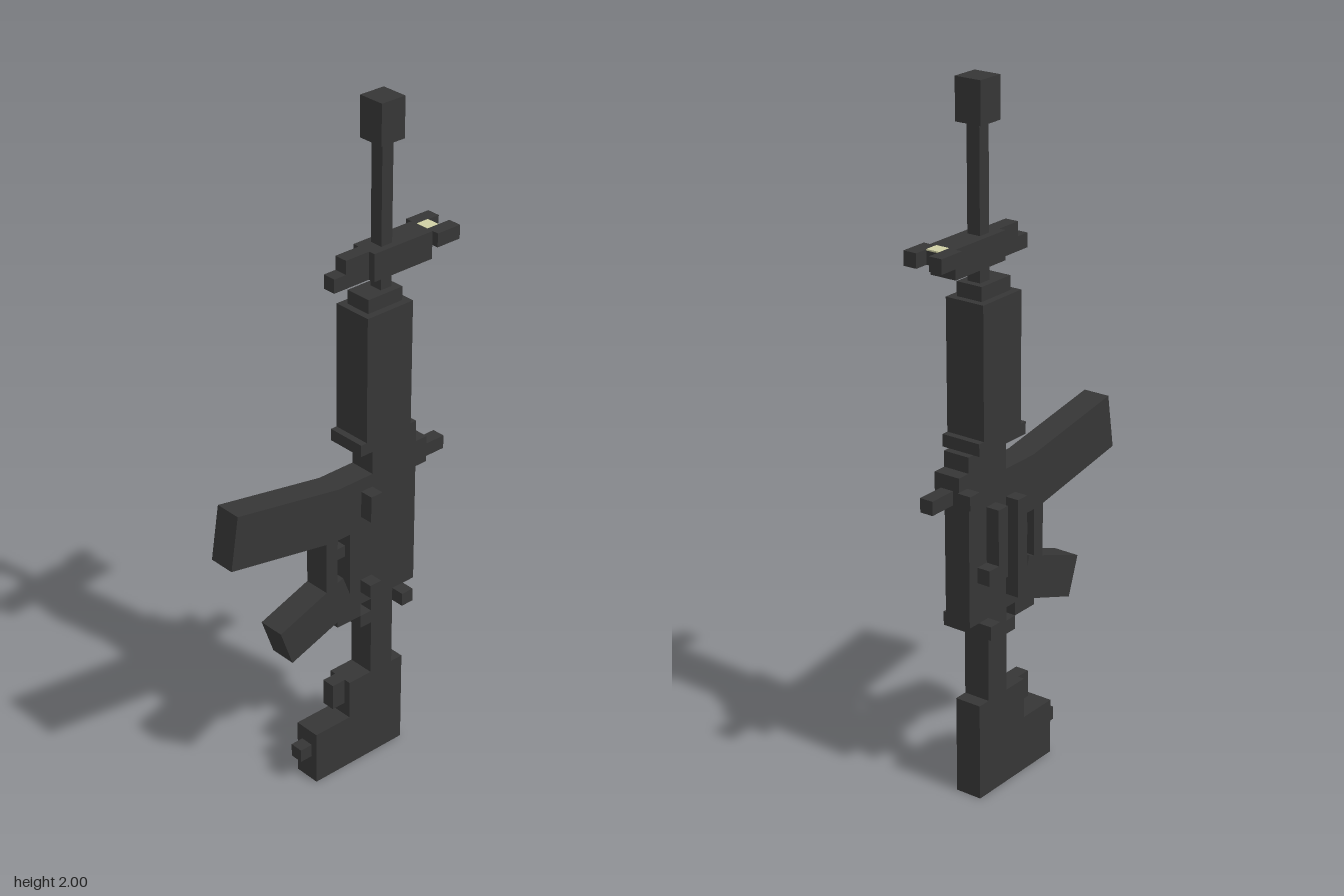
import * as THREE from 'three';

export function createModel() {
  const model = new THREE.Group();
  const gunmetal = new THREE.MeshStandardMaterial({ color: 0x363636 });
  gunmetal.name = 'gunmetal';
  const paleYellow = new THREE.MeshStandardMaterial({ color: 0xcfcfa4 });
  paleYellow.name = 'paleYellow';

  // Box given by its extents along each axis
  function block(name, x0, x1, y0, y1, z0, z1, material = gunmetal) {
    const mesh = new THREE.Mesh(new THREE.BoxGeometry(x1 - x0, y1 - y0, z1 - z0), material);
    mesh.position.set((x0 + x1) / 2, (y0 + y1) / 2, (z0 + z1) / 2);
    mesh.name = name;
    model.add(mesh);
  }
  // Box centred on x = 0
  const mid = (name, half, y0, y1, z0, z1) => block(name, -half, half, y0, y1, z0, z1);

  // Side outline of [z, y] points, extruded across x
  function slab(name, half, points) {
    const shape = new THREE.Shape(points.map(([z, y]) => new THREE.Vector2(-z, y)));
    const geometry = new THREE.ExtrudeGeometry(shape, { depth: half * 2, bevelEnabled: false });
    geometry.translate(0, 0, -half).rotateY(Math.PI / 2);
    const mesh = new THREE.Mesh(geometry, gunmetal);
    mesh.name = name;
    model.add(mesh);
  }

  // Barrel and muzzle
  mid('muzzle', 0.04, 1.885, 2, -0.205, -0.125);
  mid('barrel', 0.02, 1.47, 1.885, -0.185, -0.147);

  // Front sight with a forked end and a bright bead
  mid('frontSightBase', 0.04, 1.515, 1.595, -0.31, -0.105);
  mid('frontSightNeck', 0.02, 1.515, 1.595, -0.105, -0.025);
  mid('frontSightLug', 0.02, 1.515, 1.555, -0.025, 0.015);
  for (const s of [-1, 1]) {
    const [a, b] = [0.02 * s, 0.06 * s].sort((p, q) => p - q);
    block('frontSightProng', a, b, 1.555, 1.595, -0.39, -0.31);
  }
  mid('frontSightPost', 0.02, 1.555, 1.592, -0.35, -0.31);
  block('frontSightBead', -0.02, 0.02, 1.592, 1.596, -0.35, -0.31, paleYellow);

  // Handguard
  mid('handguardCap', 0.04, 1.43, 1.47, -0.205, -0.085);
  mid('handguard', 0.06, 1.06, 1.43, -0.225, -0.065);
  mid('handguardRing', 0.06, 1.025, 1.06, -0.245, -0.045);

  // Receiver
  mid('upperReceiver', 0.04, 0.535, 1.025, -0.265, -0.105);
  mid('lowerReceiver', 0.04, 0.535, 0.94, -0.105, -0.025);
  mid('rearSightBase', 0.04, 0.9, 0.98, -0.305, -0.265);
  mid('rearSight', 0.02, 0.9, 0.94, -0.39, -0.305);
  block('rearSightKnob', -0.08, -0.04, 0.9, 0.94, -0.31, -0.27);
  mid('chargingHandle', 0.08, 0.495, 0.535, -0.225, -0.185);

  // Controls on the two sides
  block('magazineCatch', 0.04, 0.08, 0.82, 0.9, -0.105, -0.065);
  block('selector', 0.04, 0.08, 0.575, 0.615, -0.105, -0.065);
  block('lowerRail', -0.08, -0.04, 0.575, 0.86, -0.105, -0.065);
  block('upperRail', -0.08, -0.04, 0.7, 0.86, -0.19, -0.15);
  block('upperRailKnob', -0.08, -0.04, 0.655, 0.7, -0.23, -0.15);

  // Magazine, trigger and grip
  slab('magazine', 0.04, [
    [0.39, 0.842], [0.365, 1], [0.015, 0.94], [-0.025, 0.94], [-0.025, 0.78], [0.04, 0.78],
  ]);
  mid('triggerGuard', 0.04, 0.61, 0.785, 0.02, 0.06);
  mid('trigger', 0.02, 0.7, 0.735, -0.025, 0.018);
  slab('grip', 0.04, [[0.225, 0.567], [0.185, 0.455], [-0.045, 0.537], [0, 0.65]]);
  mid('gripMount', 0.04, 0.495, 0.54, -0.065, 0.02);

  // Stock
  mid('stockTube', 0.04, 0.285, 0.535, -0.185, -0.105);
  mid('tubeLug', 0.04, 0.455, 0.495, -0.105, -0.065);
  slab('stock', 0.04, [
    [-0.225, 0], [0.1, 0], [0.1, 0.165], [-0.025, 0.165], [-0.025, 0.285], [-0.225, 0.285],
  ]);
  mid('stockLever', 0.02, 0.205, 0.285, -0.025, 0.02);
  mid('slingStud', 0.02, 0.08, 0.12, 0.1, 0.14);

  return model;
}
